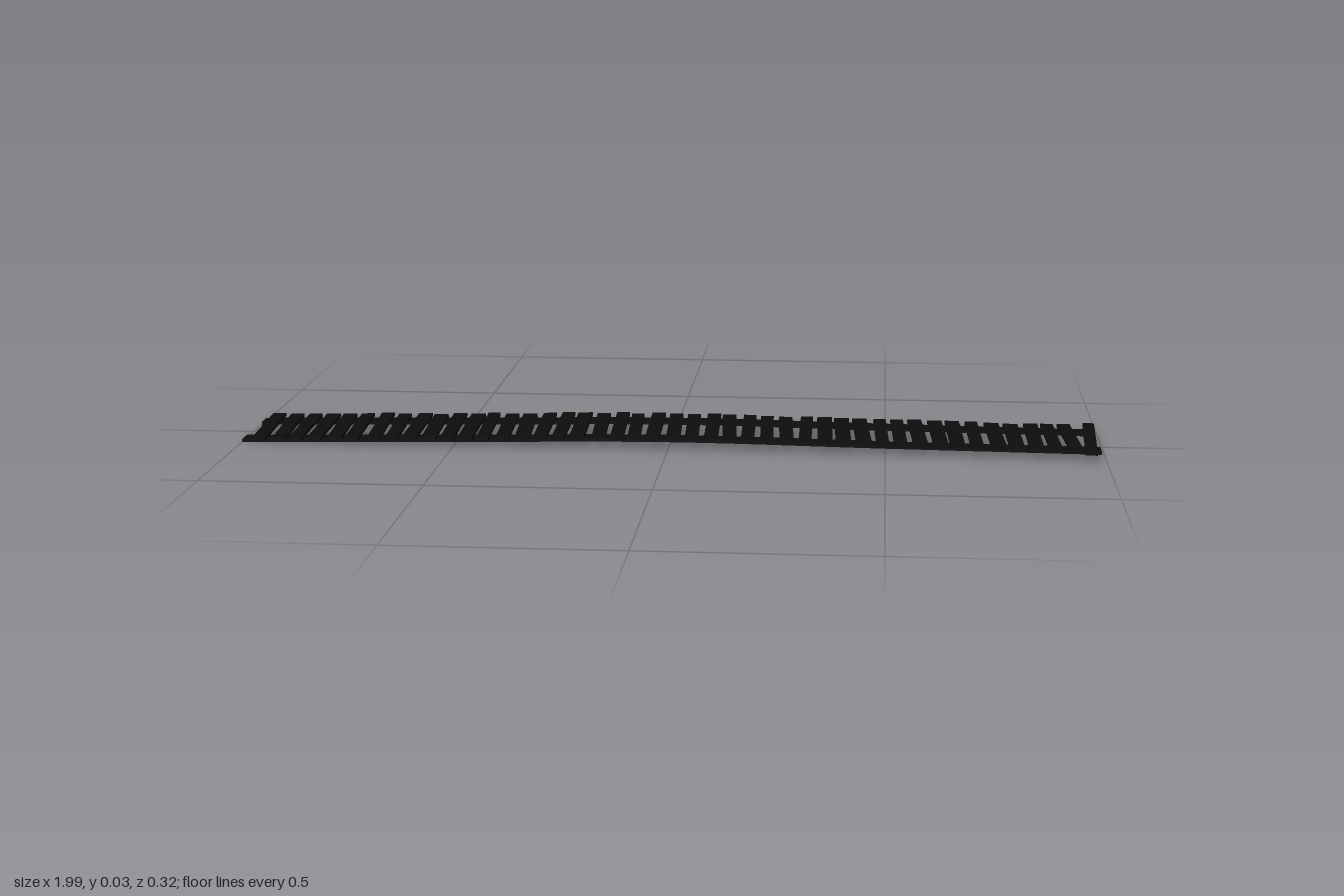
import * as THREE from 'three';

export function createModel() {
  const walkway = new THREE.Group();
  walkway.name = 'plankWalkway';
  const wood = new THREE.MeshStandardMaterial({ color: 0x0d0d0d, flatShading: true });

  // Small seeded generator, returns -1..1
  let seed = 11;
  const jitter = () => {
    seed = (seed * 16807) % 2147483647;
    return (seed / 2147483647) * 2 - 1;
  };

  // Sagging, slightly winding line of the rail undersides
  const curve = new THREE.CatmullRomCurve3([
    [-1, 0, -0.005], [-0.5, 0.009, -0.008], [0, 0.016, -0.017], [0.5, 0.013, -0.005], [1, 0.011, 0.008],
  ].map(p => new THREE.Vector3(...p)));
  const at = x => curve.getPoint(THREE.MathUtils.clamp((x + 1) / 2, 0, 1));
  const railHeight = 0.007;
  const railWidth = 0.048;
  const plankHeight = 0.007;

  // Two long rails, bent along the line
  for (const side of [-1, 1]) {
    const geo = new THREE.BoxGeometry(1.99, railHeight, railWidth, 32, 1, 1);
    const pos = geo.attributes.position;
    for (let i = 0; i < pos.count; i++) {
      const x = pos.getX(i) - 0.005;
      const p = at(x);
      pos.setXYZ(i, x, pos.getY(i) + railHeight / 2 + p.y, pos.getZ(i) + side * 0.095 + p.z);
    }
    geo.computeVertexNormals();
    const rail = new THREE.Mesh(geo, wood);
    rail.name = side > 0 ? 'frontRail' : 'backRail';
    walkway.add(rail);
  }

  // Uneven cross planks laid over the rails
  const count = 45;
  const first = -0.962;
  const last = 0.972;
  for (let i = 0; i < count; i++) {
    const end = i === count - 1;
    const x = first + ((last - first) * i) / (count - 1) + (end ? 0 : jitter() * 0.003);
    const p = at(x);
    const width = end ? 0.027 : 0.032 + jitter() * 0.003;
    const length = end ? 0.296 : 0.274 + jitter() * 0.012;
    const plank = new THREE.Mesh(new THREE.BoxGeometry(width, plankHeight, length), wood);
    plank.name = 'plank' + (i + 1);
    plank.position.set(x, p.y + railHeight + plankHeight / 2 - 0.0003, p.z + jitter() * 0.005);
    const slope = at(x + 0.02).y - at(x - 0.02).y;
    plank.rotation.set(jitter() * 0.006, 0.04 - 0.015 * x + jitter() * 0.025, Math.atan2(slope, 0.04));
    if (end) {
      plank.position.z = 0.009;
      plank.rotation.set(0.014, -0.05, 0);
    }
    walkway.add(plank);
  }
  return walkway;
}
